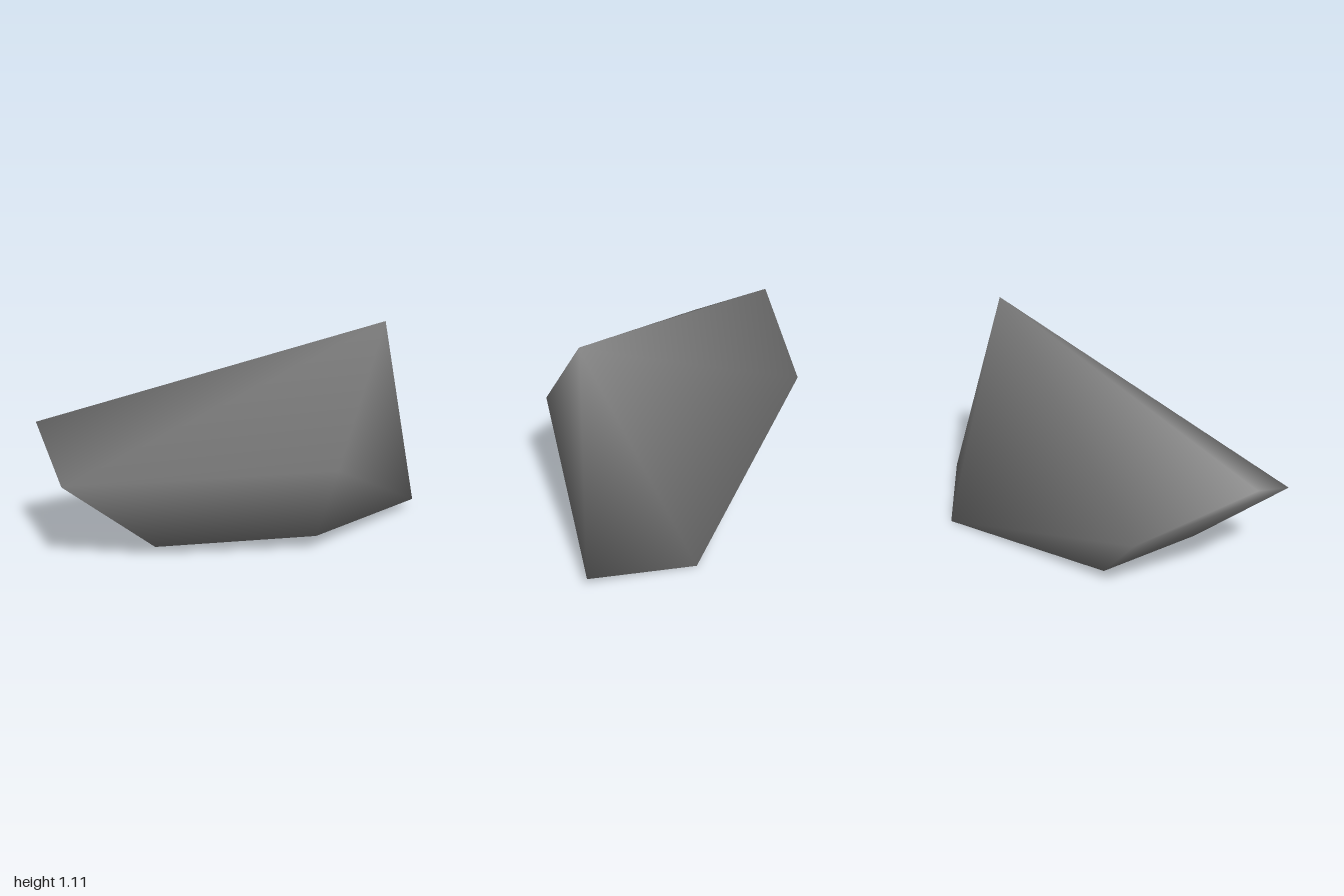
import * as THREE from 'three';

// Corner points of the angular rock
const corners = [
  [-0.53, 0.05, 0.1], [0.235, 0.08, 0.38], [1, 0.05, 0.1], [0.71, 0, -0.35], [-0.24, 0, -0.35], // base pentagon
  [0.235, 0.5, 0.585], [-1, 0.46, 0.135], [-0.53, 0.38, -0.585], // middle ring
  [-1, 0.66, -0.29], [0.71, 1.11, 0.2], // upper end and peak
].map((p) => new THREE.Vector3(...p));

// Outward-facing facets as corner loops
const facets = [
  [4, 3, 2, 1, 0], // underside
  [6, 8, 7, 4, 0], // end
  [6, 0, 1, 5], [2, 5, 1], [6, 5, 9], [2, 9, 5], // front
  [7, 3, 4], [3, 7, 9], [2, 3, 9], // back and side
  [7, 8, 9], [6, 9, 8], // top
];

function rockGeometry() {
  const normals = corners.map(() => new THREE.Vector3());
  const index = [];
  for (const loop of facets) {
    const [a, b, c] = loop.map((i) => corners[i]);
    const n = b.clone().sub(a).cross(c.clone().sub(a)).normalize();
    // every facet counts equally in the smooth corner normals
    loop.forEach((i) => normals[i].add(n));
    for (let k = 1; k < loop.length - 1; k++) index.push(loop[0], loop[k], loop[k + 1]);
  }
  normals.forEach((n) => n.normalize());
  const flat = (list) => new THREE.Float32BufferAttribute(list.flatMap((v) => v.toArray()), 3);
  const geometry = new THREE.BufferGeometry();
  geometry.setAttribute('position', flat(corners));
  geometry.setAttribute('normal', flat(normals));
  geometry.setIndex(index);
  return geometry;
}

export function createModel() {
  const stone = new THREE.MeshStandardMaterial({ color: 0x808080 });
  stone.name = 'stone grey';
  const rock = new THREE.Mesh(rockGeometry(), stone);
  rock.name = 'rock';
  const group = new THREE.Group();
  group.name = 'angularRock';
  group.add(rock);
  return group;
}
